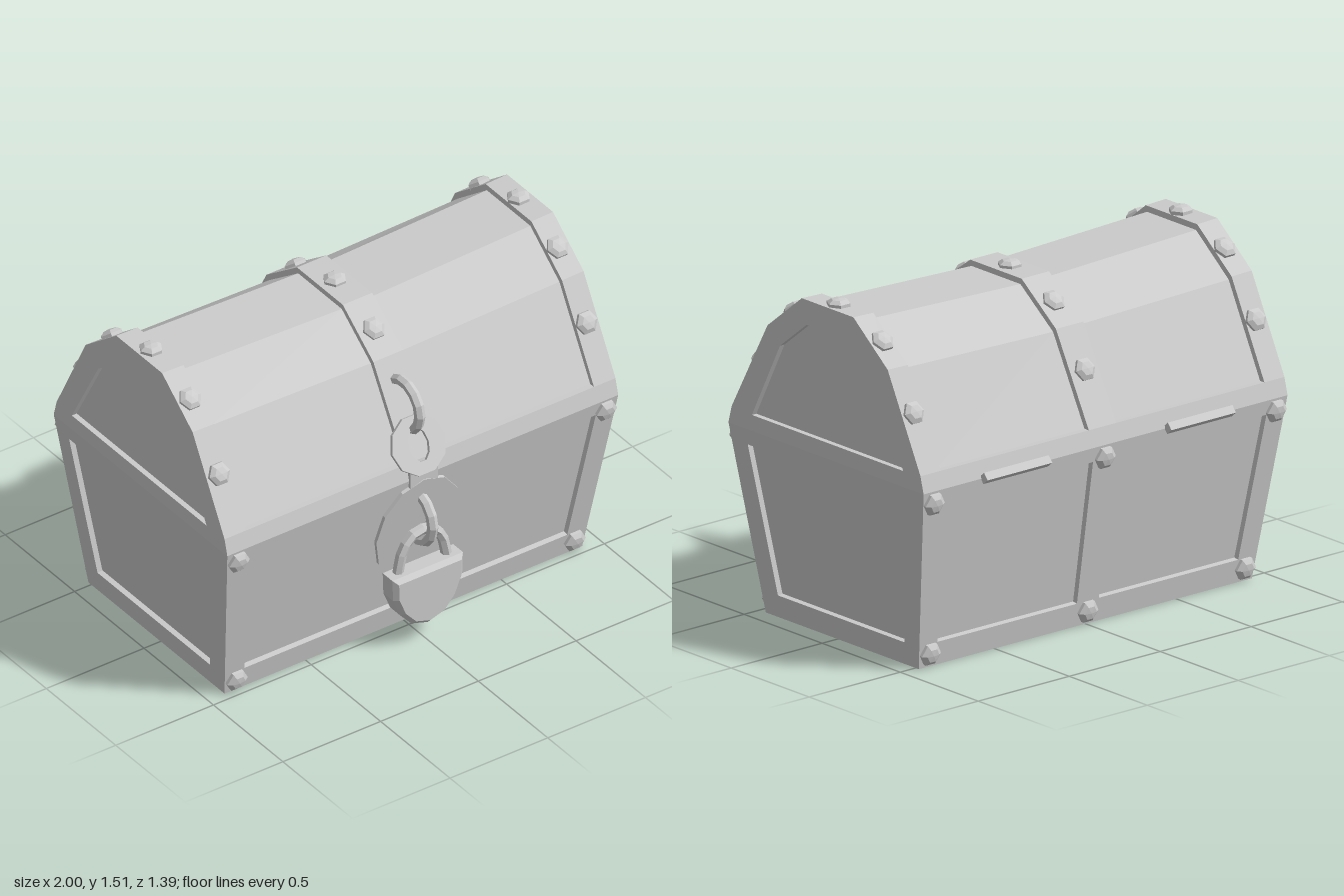
import * as THREE from 'three';

const material = new THREE.MeshStandardMaterial({ color: 0xcccccc, flatShading: true });
const V = (x, y, z) => new THREE.Vector3(x, y, z);
const INSET = 0.025;

function addMesh(parent, name, geometry, x = 0, y = 0, z = 0) {
  const mesh = new THREE.Mesh(geometry, material);
  mesh.name = name;
  mesh.position.set(x, y, z);
  parent.add(mesh);
  return mesh;
}

// Triangle collector that drops collapsed triangles
class Faces {
  pos = [];
  tri(a, b, c) {
    const n = b.clone().sub(a).cross(c.clone().sub(a));
    if (n.length() > 1e-7) for (const p of [a, b, c]) this.pos.push(p.x, p.y, p.z);
  }
  quad(a, b, c, d) { this.tri(a, b, c); this.tri(a, c, d); }

  // Flat frame from the outer to the inner loop, with a sunken panel inside
  recessed(outer, inner) {
    const n = outer.length, normal = V(0, 0, 0), centre = V(0, 0, 0);
    outer.forEach((p, i) => {
      normal.add(p.clone().cross(outer[(i + 1) % n]));
      centre.addScaledVector(p, 1 / n);
    });
    normal.normalize();
    if (normal.dot(centre.sub(V(0, 0.6, -0.03))) < 0) {
      outer = [...outer].reverse();
      inner = [...inner].reverse();
      normal.negate();
    }
    const deep = inner.map(p => p.clone().addScaledVector(normal, -INSET));
    for (let i = 0; i < n; i++) {
      const j = (i + 1) % n;
      this.quad(outer[i], outer[j], inner[j], inner[i]);
      this.quad(inner[i], inner[j], deep[j], deep[i]);
      if (i > 0 && j > 0) this.tri(deep[0], deep[i], deep[j]);
    }
  }
  geometry() {
    const g = new THREE.BufferGeometry();
    g.setAttribute('position', new THREE.Float32BufferAttribute(this.pos, 3));
    g.computeVertexNormals();
    return g;
  }
}

// Tapered body walls at height y
const RIM = 0.82;
const halfX = y => 0.915 + 0.085 * y / RIM;
const frontZ = y => 0.46 + 0.14 * y / RIM;
const backZ = y => -0.52 - 0.13 * y / RIM;

function bodyGeometry() {
  const f = new Faces(), lo = 0.105, hi = 0.755;
  const wall = (zAt, y, x) => V(x, y, zAt(y));
  const loop = (zAt, y0, y1, xa, xb) => [
    wall(zAt, y0, xa(y0)), wall(zAt, y0, xb(y0)), wall(zAt, y1, xb(y1)), wall(zAt, y1, xa(y1))];
  // front: one panel
  f.recessed(loop(frontZ, 0, RIM, y => -halfX(y), halfX),
    loop(frontZ, lo, hi, y => 0.1 - halfX(y), y => halfX(y) - 0.1));
  for (const s of [-1, 1]) {
    // back: two panels with a post between
    f.recessed(loop(backZ, 0, RIM, () => 0, y => s * halfX(y)),
      loop(backZ, lo, hi, () => s * 0.06, y => s * (halfX(y) - 0.1)));
    // ends
    const end = (y, z) => V(s * halfX(y), y, z);
    f.recessed([end(0, frontZ(0)), end(0, backZ(0)), end(RIM, backZ(RIM)), end(RIM, frontZ(RIM))],
      [end(0.1, 0.37), end(0.1, -0.44), end(0.75, -0.55), end(0.75, 0.485)]);
  }
  // underside
  const rect = (x, z0, z1) => [V(-x, 0, z0), V(x, 0, z0), V(x, 0, z1), V(-x, 0, z1)];
  f.recessed(rect(0.915, -0.52, 0.46), rect(0.82, -0.43, 0.37));
  return f.geometry();
}

// Lid cross-section [z, y]: front rim, over the top, back rim
const LID = [[0.6, 0.82], [0.58, 0.895], [0.58, 0.895], [0.35, 1.31], [0.13, 1.485],
  [-0.2, 1.485], [-0.42, 1.31], [-0.63, 0.895], [-0.63, 0.895], [-0.65, 0.82]];
const LID_PANEL = [[0.6, 0.82], [0.58, 0.895], [0.553, 0.895], [0.331, 1.292], [0.122, 1.458],
  [-0.192, 1.458], [-0.401, 1.292], [-0.602, 0.895], [-0.63, 0.895], [-0.65, 0.82]];
const sag = (x, y) => 0.035 * (1 - Math.abs(x)) * Math.max(0, (y - 0.895) / 0.59);

function lidGeometry() {
  const f = new Faces();
  const section = (x, profile) => profile.map(([z, y]) => V(x, y - sag(x, y), z));
  // straps stand proud of the panels; the profile switches at each strap edge
  const stations = [[-1, LID], [-0.89, LID], [-0.89, LID_PANEL], [-0.075, LID_PANEL], [-0.075, LID],
    [0.075, LID], [0.075, LID_PANEL], [0.89, LID_PANEL], [0.89, LID], [1, LID]]
    .map(([x, p]) => section(x, p));
  for (let s = 0; s + 1 < stations.length; s++) {
    const a = stations[s], b = stations[s + 1];
    for (let i = 0; i + 1 < LID.length; i++) f.quad(a[i], b[i], b[i + 1], a[i + 1]);
  }
  const inner = [[0.45, 0.89], [0.45, 0.89], [0.45, 0.89], [0.27, 1.24], [0.1, 1.375],
    [-0.16, 1.375], [-0.33, 1.24], [-0.52, 0.89], [-0.52, 0.89], [-0.52, 0.89]];
  for (const x of [-1, 1]) f.recessed(section(x, LID), section(x, inner));
  return f.geometry();
}

// Thin oval plate with an oval hole
function plateGeometry(rx, ry, holeX, holeY, sides) {
  const shape = new THREE.Shape().absellipse(0, 0, rx, ry, 0, Math.PI * 2);
  shape.holes.push(new THREE.Path().absellipse(0, 0, holeX, holeY, 0, Math.PI * 2, true));
  return new THREE.ExtrudeGeometry(shape, { depth: 0.016, bevelEnabled: false, curveSegments: sides });
}

function addRivets(group) {
  const profile = [[0.052, -0.01], [0.052, 0.014], [0.032, 0.028], [0, 0.032]];
  const geo = new THREE.LatheGeometry(profile.map(p => new THREE.Vector2(...p)), 6, Math.PI / 2);
  const rivet = (x, y, z, ny, nz) => addMesh(group, 'rivet', geo, x, y, z)
    .quaternion.setFromUnitVectors(V(0, 1, 0), V(0, ny, nz).normalize());
  for (const x of [-1, 0, 1]) {
    // body corners, and the post on the back
    for (const [y, bx] of [[0.765, 0.94], [0.06, 0.865]]) {
      if (x !== 0) rivet(x * bx, y, frontZ(y), -0.17, 1);
      rivet(x * bx, y, backZ(y), -0.16, -1);
    }
    // lid straps
    const lx = x * 0.94, d = sag(lx, 1.4);
    rivet(lx, 1.485 - sag(lx, 1.485), -0.035, 1, 0);
    rivet(lx, 1.395 - d, 0.243, 0.22, 0.175);
    rivet(lx, 1.395 - d, -0.313, 0.22, -0.175);
    if (x !== 0) rivet(lx, 1.13, 0.45, 0.23, 0.415);
    rivet(lx, 1.13 - d / 2, -0.51, 0.21, -0.415);
  }
}

function padlock() {
  const group = new THREE.Group();
  group.name = 'padlock';
  const half = [[0.16, 0.355], [0.157, 0.275], [0.125, 0.195], [0.072, 0.135]];
  const outline = [...half, [0, 0.112], ...half.map(([x, y]) => [-x, y]).reverse()].reverse();
  const shape = new THREE.Shape(outline.map(p => new THREE.Vector2(...p)));
  addMesh(group, 'lockBody', new THREE.ExtrudeGeometry(shape,
    { depth: 0.07, bevelThickness: 0.02, bevelSize: 0.02, bevelSegments: 1 }), 0, 0, 0.565);
  const bow = [[-0.125, 0.36], [-0.1, 0.47], [-0.045, 0.535], [0.045, 0.535], [0.1, 0.47], [0.125, 0.36]];
  const path = new THREE.CatmullRomCurve3(bow.map(([x, y]) => V(x, y, 0.595)));
  addMesh(group, 'shackle', new THREE.TubeGeometry(path, 10, 0.024, 6), 0, 0, 0);
  return group;
}

export function createModel() {
  const model = new THREE.Group();
  model.name = 'chest';
  addMesh(model, 'body', bodyGeometry());
  addMesh(model, 'lid', lidGeometry());
  addRivets(model);

  // hinges
  for (const s of [-1, 1])
    addMesh(model, 'hinge', new THREE.BoxGeometry(0.355, 0.036, 0.036), s * 0.505, 0.825, -0.665).rotation.x = 0.7;

  // lock plate on the body, hasp plate on the lid
  addMesh(model, 'lockPlate', plateGeometry(0.215, 0.27, 0.05, 0.08, 6), 0, 0.545, frontZ(0.545))
    .rotation.x = Math.atan(0.14 / RIM);
  addMesh(model, 'haspPlate', plateGeometry(0.135, 0.132, 0.05, 0.075, 5), 0, 0.955, 0.558)
    .rotation.x = -Math.atan(0.23 / 0.415);
  addMesh(model, 'haspTab', new THREE.BoxGeometry(0.14, 0.1, 0.03), 0, 0.835, 0.595);

  // rings standing out of the plates
  for (const [name, y, z, r] of [['lidRing', 1.11, 0.467, 0.112], ['bodyRing', 0.595, 0.55, 0.122]])
    addMesh(model, name, new THREE.TorusGeometry(r, 0.024, 6, 14), 0, y, z).rotation.y = -Math.PI / 2;

  model.add(padlock());
  return model;
}
